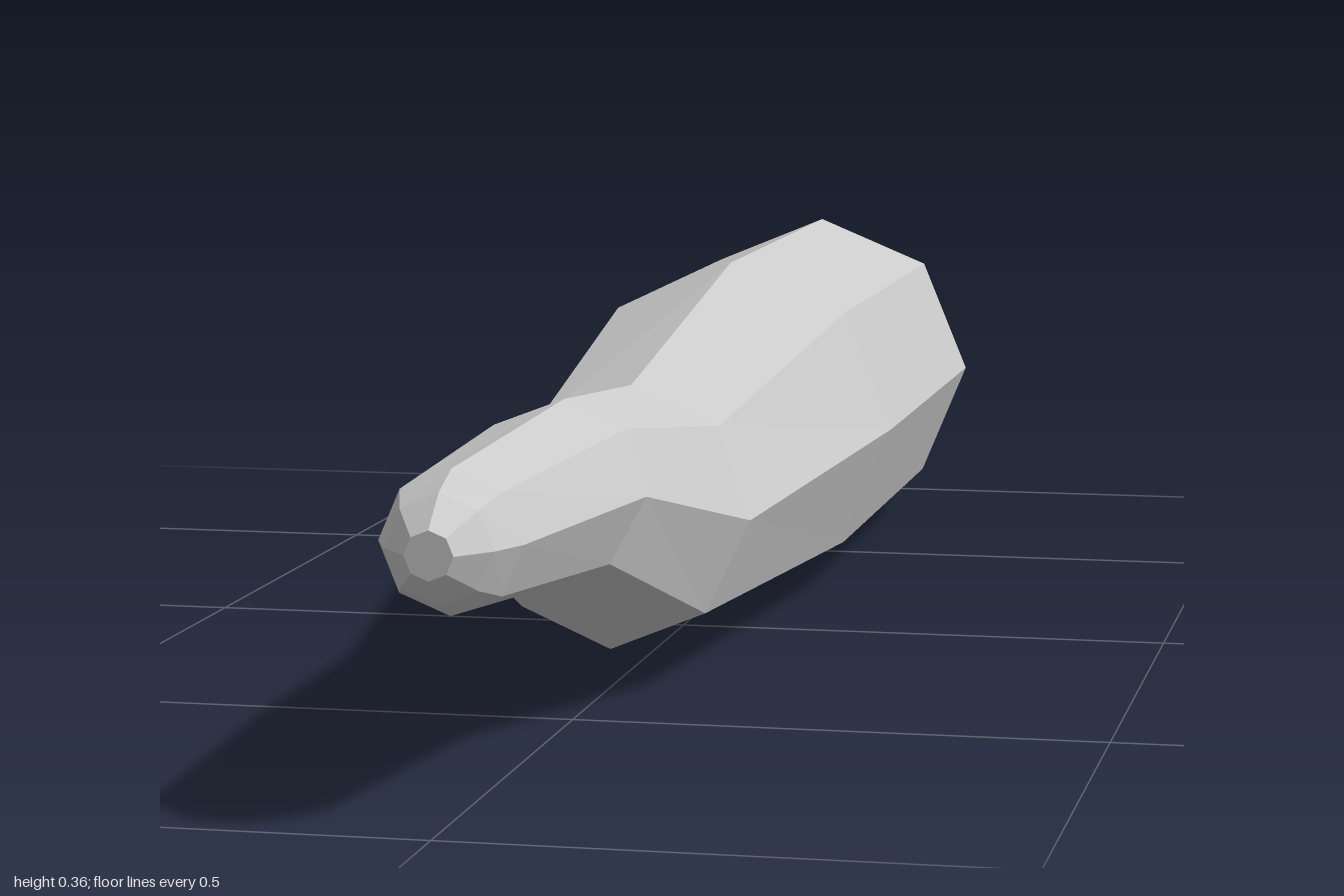
import * as THREE from 'three';

const SIDES = 8;

// Cross-sections from back to front: z, centre height, half width, half height, forward lean at the bottom
const SECTIONS = [
  [-1.0, 0.178, 0.08, 0.08, 0],
  [-0.91, 0.178, 0.143, 0.143, 0],
  [-0.82, 0.178, 0.178, 0.178, 0],
  [-0.25, 0.178, 0.178, 0.178, 0],
  [0.295, 0.16, 0.128, 0.1225, 0.047],
  [0.58, 0.224, 0.088, 0.08, 0.05],
  [0.93, 0.235, 0.062, 0.061, 0.003],
  [0.967, 0.235, 0.047, 0.047, 0],
  [1.0, 0.235, 0.021, 0.021, 0],
];

// Joins octagonal rings into a closed, faceted body
function loft(sections) {
  const positions = [];
  const index = [];
  for (const [z, y, halfWidth, halfHeight, lean] of sections) {
    for (let i = 0; i < SIDES; i++) {
      const a = (i / SIDES) * Math.PI * 2;
      const s = Math.sin(a);
      positions.push(Math.cos(a) * halfWidth, y + s * halfHeight, z - s * lean);
    }
  }
  for (let r = 0; r < sections.length - 1; r++) {
    for (let i = 0; i < SIDES; i++) {
      const a = r * SIDES + i;
      const b = r * SIDES + ((i + 1) % SIDES);
      index.push(a, b, b + SIDES, a, b + SIDES, a + SIDES);
    }
  }
  // Flat end caps
  const last = (sections.length - 1) * SIDES;
  for (let i = 1; i < SIDES - 1; i++) {
    index.push(0, i + 1, i);
    index.push(last, last + i, last + i + 1);
  }
  const geometry = new THREE.BufferGeometry();
  geometry.setAttribute('position', new THREE.Float32BufferAttribute(positions, 3));
  geometry.setIndex(index);
  const flat = geometry.toNonIndexed();
  flat.computeVertexNormals();
  return flat;
}

export function createModel() {
  const group = new THREE.Group();
  group.name = 'taperedHandle';

  const material = new THREE.MeshStandardMaterial({ color: 0xcccccc, flatShading: true });
  const body = new THREE.Mesh(loft(SECTIONS), material);
  body.name = 'body';
  group.add(body);

  return group;
}
